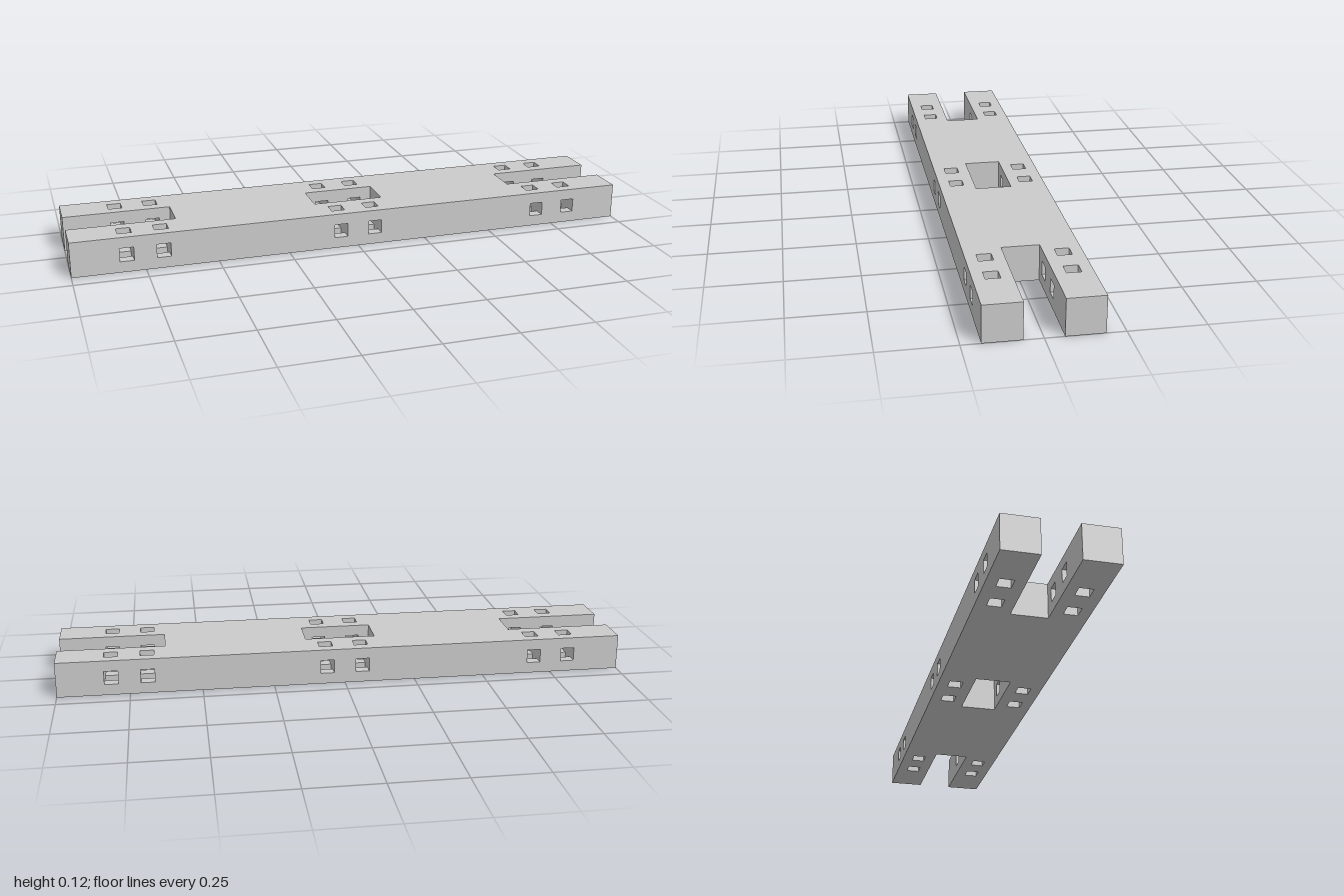
import * as THREE from 'three';
import { mergeGeometries } from 'three/addons/utils/BufferGeometryUtils.js';

const T = 0.125;            // thickness, also the width of each rail and of the slots
const W = 0.1875;           // half width of the beam
const S = T / 2;            // half width of a slot
const H = 0.024;            // half size of a square peg hole
const HOLES = [-0.8125, -0.6875, -0.0625, 0.0625, 0.6875, 0.8125];
const SLOTS = [[-1, -0.625], [-0.125, 0.125], [0.625, 1]];

const poly = (pts, Type = THREE.Shape) => new Type(pts.map(p => new THREE.Vector2(...p)));
const rect = (x0, x1, y0, y1, Type) => poly([[x0, y0], [x1, y0], [x1, y1], [x0, y1]], Type);
const squareHole = (x, y) => rect(x - H, x + H, y - H, y + H, THREE.Path);

// Top or bottom plate: H-shaped outline with a centre slot and peg holes
function plate() {
  const e = 0.625;
  const shape = poly([[-1, -W], [1, -W], [1, -S], [e, -S], [e, S], [1, S],
    [1, W], [-1, W], [-1, S], [-e, S], [-e, -S], [-1, -S]]);
  shape.holes.push(rect(-T, T, -S, S, THREE.Path));
  for (const x of HOLES) for (const z of [-T, T]) shape.holes.push(squareHole(x, z));
  return new THREE.ShapeGeometry(shape);
}

// Lengthwise wall with peg holes, facing +z or -z
function sideWall(x0, x1, z, facing) {
  const flip = facing < 0;
  const shape = flip ? rect(-x1, -x0, 0, T) : rect(x0, x1, 0, T);
  for (const x of HOLES) if (x > x0 && x < x1) shape.holes.push(squareHole(flip ? -x : x, S));
  const g = new THREE.ShapeGeometry(shape);
  if (flip) g.rotateY(Math.PI);
  return g.translate(0, 0, z);
}

// Crosswise wall facing +x or -x
const endWall = (x, z, facing) =>
  new THREE.PlaneGeometry(T, T).rotateY(facing * Math.PI / 2).translate(x, S, z);

// Inner walls of an upright hole crossing a horizontal hole
function crossing(x, z) {
  const parts = [];
  const plus = poly([[-H, -S], [H, -S], [H, -H], [S, -H], [S, H], [H, H],
    [H, S], [-H, S], [-H, H], [-S, H], [-S, -H], [-H, -H]]);
  for (const s of [-1, 1])
    parts.push(new THREE.ShapeGeometry(plus).rotateY(-s * Math.PI / 2).translate(s * H, 0, 0));
  for (let k = 0; k < 4; k++) for (const s of [-1, 1]) {
    const g = new THREE.PlaneGeometry(2 * H, S - H);
    if (s > 0) g.rotateY(Math.PI);
    parts.push(g.translate(0, (S + H) / 2, s * H).rotateX(k * Math.PI / 2));
  }
  return parts.map(g => g.translate(x, S, z));
}

export function createModel() {
  const group = new THREE.Group();
  group.name = 'slottedBeam';
  const material = new THREE.MeshStandardMaterial({ color: 0xcccccc });
  const add = (name, geometries) => {
    const mesh = new THREE.Mesh(mergeGeometries(geometries), material);
    mesh.name = name;
    group.add(mesh);
  };

  add('topPlate', [plate().rotateX(-Math.PI / 2).translate(0, T, 0)]);
  add('bottomPlate', [plate().rotateX(Math.PI / 2)]);

  // Outer sides and rail ends
  const outer = [], slotWalls = [], holeWalls = [];
  for (const s of [-1, 1]) {
    outer.push(sideWall(-1, 1, s * W, s));
    for (const e of [-1, 1]) outer.push(endWall(e, s * T, e));
    // Slot sides, facing the middle
    for (const [x0, x1] of SLOTS) slotWalls.push(sideWall(x0, x1, s * S, -s));
    // Closed ends of the end slots and of the centre slot
    slotWalls.push(endWall(s * 0.625, 0, s), endWall(s * T, 0, -s));
    for (const x of HOLES) holeWalls.push(...crossing(x, s * T));
  }
  add('outerSides', outer);
  add('slotWalls', slotWalls);
  add('pegHoles', holeWalls);
  return group;
}
